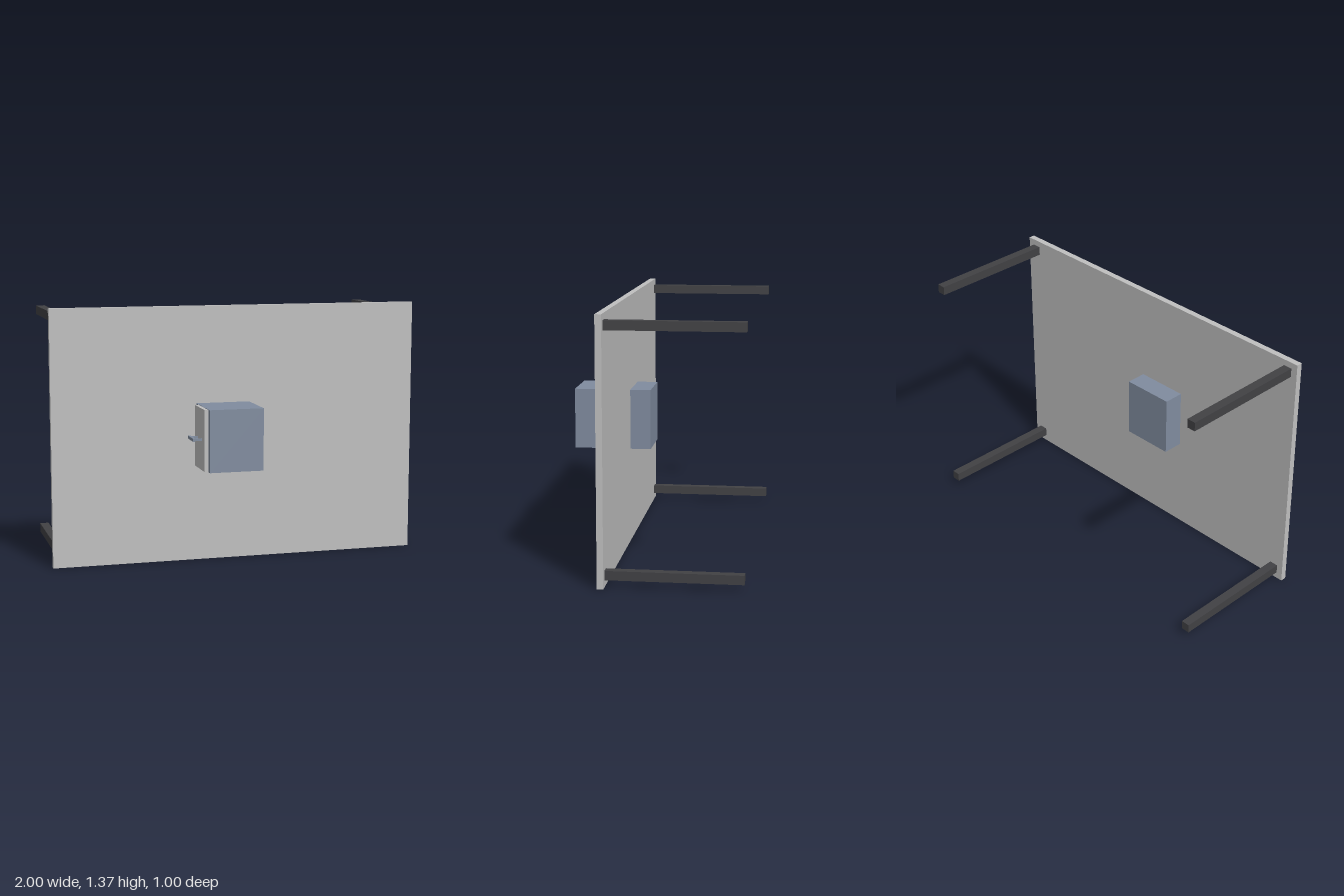
import * as THREE from 'three';

export function createModel() {
  const model = new THREE.Group();
  model.name = 'tippedDesk';

  const paint = (name, color) => {
    const m = new THREE.MeshStandardMaterial({ color });
    m.name = name;
    return m;
  };
  const lightGrey = paint('light grey', 0xbfbfbf);
  const slateBlue = paint('slate blue', 0x808c9f);
  const charcoal = paint('charcoal', 0x414144);

  // Box given by its lower and upper corners
  const block = (name, material, lo, hi, parent = model) => {
    const size = hi.map((v, i) => v - lo[i]);
    const mesh = new THREE.Mesh(new THREE.BoxGeometry(...size), material);
    mesh.position.set(...hi.map((v, i) => (v + lo[i]) / 2));
    mesh.name = name;
    parent.add(mesh);
    return mesh;
  };

  // Upright table top
  block('tableTop', lightGrey, [-1, 0, 0.195], [1, 1.367, 0.228]);

  // Four legs pointing backwards
  for (const x of [-0.94, 0.94]) {
    for (const y of [0.061, 1.31]) {
      block('leg', charcoal, [x - 0.024, y - 0.024, -0.502], [x + 0.024, y + 0.024, 0.195]);
    }
  }

  // Cabinet passing through the top
  block('cabinet', slateBlue, [-0.22, 0.521, 0.083], [0.07, 0.85, 0.502]);

  // Drawer front on the cabinet's right side
  block('drawerFront', lightGrey, [-0.241, 0.523, 0.272], [-0.22, 0.848, 0.477]);

  // Handle: two posts and a grip bar
  const handle = new THREE.Group();
  handle.name = 'drawerHandle';
  model.add(handle);
  for (const z of [0.332, 0.415]) {
    block('handlePost', slateBlue, [-0.277, 0.679, z - 0.006], [-0.241, 0.691, z + 0.006], handle);
  }
  block('handleGrip', slateBlue, [-0.29, 0.677, 0.32], [-0.277, 0.693, 0.427], handle);

  return model;
}
